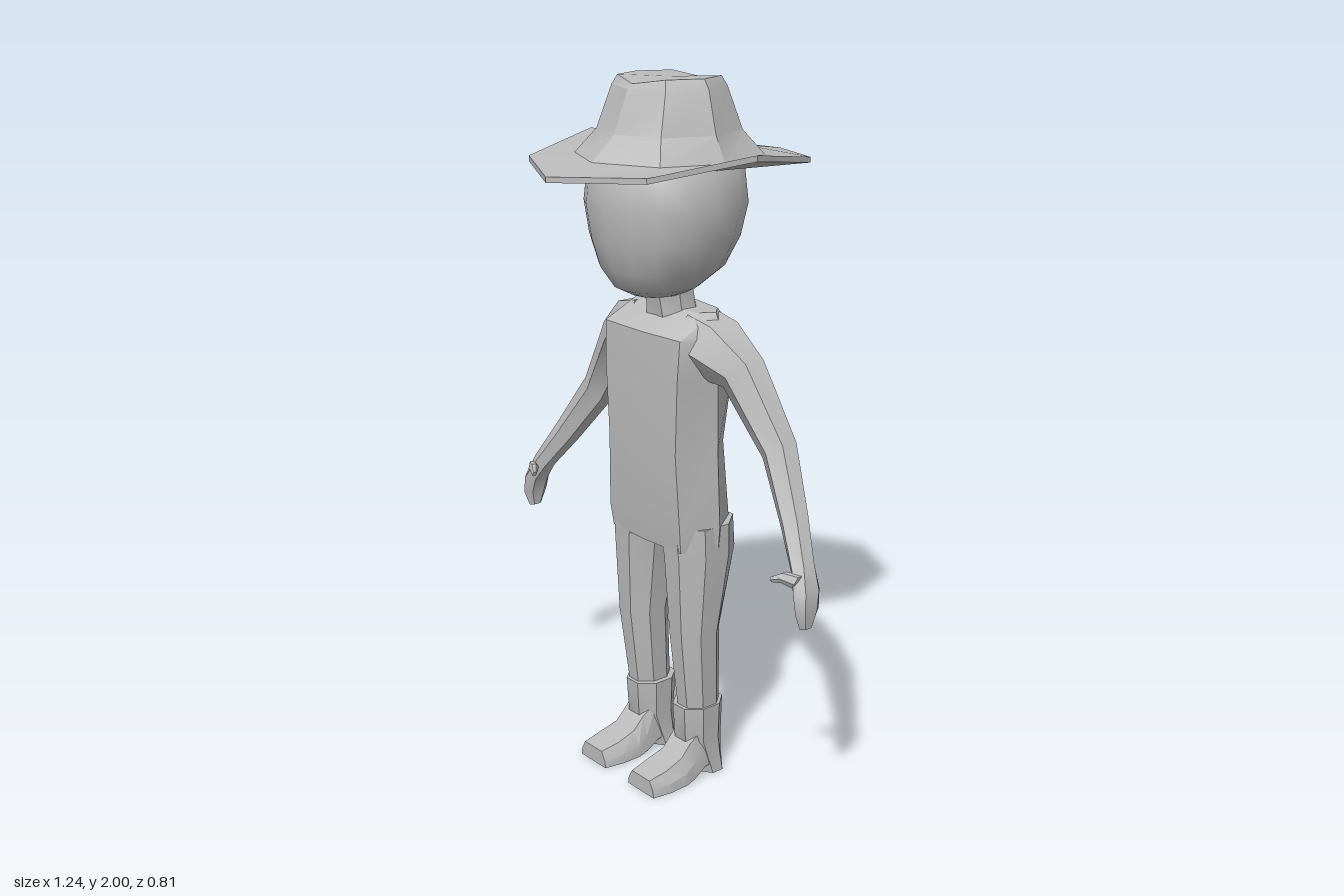
import * as THREE from 'three';
import { toCreasedNormals } from 'three/addons/utils/BufferGeometryUtils.js';

const V = (x, y, z) => new THREE.Vector3(x, y, z);

// Closed skin over rings of equal length, capped at both ends and facing outward.
function loft(rings, crease) {
  const n = rings[0].length, pts = rings.flat(), tris = [];
  const last = (rings.length - 1) * n;
  for (let r = 0; r < rings.length - 1; r++) {
    for (let i = 0; i < n; i++) {
      const a = r * n + i, b = r * n + (i + 1) % n;
      tris.push([a, b, b + n], [a, b + n, a + n]);
    }
  }
  const middle = ring => ring.reduce((s, p) => s.add(p), V(0, 0, 0)).divideScalar(n);
  pts.push(middle(rings[0]), middle(rings[rings.length - 1]));
  for (let i = 0; i < n; i++) {
    const j = (i + 1) % n;
    tris.push([j, i, pts.length - 2], [last + i, last + j, pts.length - 1]);
  }
  const volume = tris.reduce((s, [a, b, c]) => s + pts[a].dot(V(0, 0, 0).crossVectors(pts[b], pts[c])), 0);
  const g = new THREE.BufferGeometry().setFromPoints(pts);
  g.setIndex(tris.flatMap(([a, b, c]) => (volume < 0 ? [a, c, b] : [a, b, c])));
  return toCreasedNormals(g, crease);
}

// Level ring filling x0..x1 and z0..z1; power below 1 squares it off.
function levelRing([y, x0, x1, z0, z1], n, phase = 0, power = 1) {
  const grow = phase ? 1 / Math.cos(phase) : 1;
  const bend = v => Math.sign(v) * Math.abs(v) ** power * grow;
  return Array.from({ length: n }, (_, i) => {
    const a = phase + i / n * Math.PI * 2;
    return V((x0 + x1) / 2 + (x1 - x0) / 2 * bend(Math.cos(a)), y, (z0 + z1) / 2 + (z1 - z0) / 2 * bend(Math.sin(a)));
  });
}

// Six-sided limb through stations [x, y, z, half thickness, half depth].
function limb(stations) {
  return stations.map(([x, y, z, h, d], k) => {
    const p = stations[Math.max(k - 1, 0)], q = stations[Math.min(k + 1, stations.length - 1)];
    const t = V(q[0] - p[0], q[1] - p[1], 0).normalize();
    return Array.from({ length: 6 }, (_, i) => {
      const a = i / 6 * Math.PI * 2, u = Math.sin(a) * h / 0.866;
      return V(x - t.y * u, y + t.x * u, z + Math.cos(a) * d);
    });
  });
}

// Eight-sided hat ring: front radius and height, diagonal x, z, height, side radius and height.
function hatRing([zr, yz, xd, zd, yd, xr, yx]) {
  return [V(0, yz, zr), V(xd, yd, zd), V(xr, yx, 0), V(xd, yd, -zd),
    V(0, yz, -zr), V(-xd, yd, -zd), V(-xr, yx, 0), V(-xd, yd, zd)];
}

export function createModel() {
  const model = new THREE.Group();
  const grey = new THREE.MeshStandardMaterial({ color: 0xbbbbbb });
  grey.name = 'plain grey';
  const add = (name, rings, crease = 0.6) => {
    const mesh = new THREE.Mesh(loft(rings, crease), grey);
    mesh.name = name;
    model.add(mesh);
  };

  // Hat: brim underside, brim edge, flared crown and dipped top
  add('hat', [
    [0.25, 1.772, 0.175, 0.175, 1.775, 0.215, 1.775],
    [0.405, 1.758, 0.25, 0.28, 1.772, 0.345, 1.812],
    [0.405, 1.773, 0.25, 0.28, 1.787, 0.345, 1.828],
    [0.26, 1.795, 0.18, 0.18, 1.795, 0.225, 1.792],
    [0.185, 1.86, 0.135, 0.14, 1.86, 0.188, 1.86],
    [0.14, 1.972, 0.112, 0.105, 1.975, 0.158, 1.975],
    [0.125, 1.985, 0.1, 0.095, 2, 0.14, 2],
  ].map(hatRing), 0.4);

  // Head: [y, half width, back, front]
  add('head', [
    [1.425, 0.07, -0.03, 0.12], [1.445, 0.11, -0.07, 0.16], [1.5, 0.165, -0.14, 0.193],
    [1.58, 0.2, -0.18, 0.213], [1.67, 0.217, -0.2, 0.225], [1.77, 0.205, -0.19, 0.215],
    [1.85, 0.15, -0.13, 0.13],
  ].map(([y, w, b, f]) => levelRing([y, -w, w, b, f], 16, 0, 0.9)), 0.8);

  add('neck', [[1.34, -0.09, 0.09, -0.085, 0.05], [1.39, -0.075, 0.075, -0.065, 0.055],
    [1.46, -0.08, 0.08, -0.05, 0.07]].map(r => levelRing(r, 8, Math.PI / 8)));

  // Torso: [y, front corner x, side x, back corner x, front z, side z, back z]
  add('torso', [
    [0.715, 0.15, 0.19, 0.13, 0.092, -0.02, -0.128], [0.78, 0.155, 0.195, 0.13, 0.1, -0.02, -0.13],
    [1.0, 0.145, 0.178, 0.115, 0.108, -0.025, -0.12], [1.21, 0.155, 0.182, 0.125, 0.11, -0.02, -0.145],
    [1.325, 0.16, 0.19, 0.14, 0.105, -0.03, -0.13], [1.385, 0.13, 0.16, 0.12, 0.02, -0.03, -0.09],
  ].map(([y, fx, sx, bx, fz, sz, bz]) => [
    V(0, y, fz), V(fx, y, fz - 0.008), V(sx, y, sz), V(bx, y, bz + 0.02),
    V(0, y, bz), V(-bx, y, bz + 0.02), V(-sx, y, sz), V(-fx, y, fz - 0.008)]));

  for (const [side, s] of [['left', 1], ['right', -1]]) {
    const addSide = (name, rings, crease) =>
      add(side + name, rings.map(r => r.map(p => V(p.x * s, p.y, p.z))), crease);

    // Arm running into a flat mitten hand
    addSide('Arm', limb([
      [0.1, 1.295, -0.02, 0.085, 0.1], [0.17, 1.285, -0.025, 0.08, 0.095],
      [0.26, 1.235, -0.04, 0.06, 0.065], [0.39, 1.05, -0.055, 0.046, 0.05],
      [0.5, 0.89, -0.01, 0.035, 0.042], [0.57, 0.79, 0.025, 0.027, 0.038],
      [0.598, 0.735, 0.037, 0.023, 0.047], [0.605, 0.685, 0.04, 0.015, 0.042],
      [0.604, 0.64, 0.042, 0.01, 0.022],
    ]));
    addSide('Thumb', limb([[0.59, 0.765, 0.055, 0.02, 0.02], [0.555, 0.775, 0.078, 0.014, 0.016],
      [0.53, 0.767, 0.095, 0.007, 0.009]]));

    // Leg: [y, inner x, outer x, back z, front z]
    addSide('Leg', [
      [0.78, 0.01, 0.188, -0.122, 0.09], [0.69, 0.035, 0.188, -0.122, 0.085],
      [0.45, 0.052, 0.178, -0.068, 0.073], [0.2, 0.062, 0.162, -0.078, 0.042],
    ].map(r => levelRing(r, 8, Math.PI / 8)));

    // Boot shaft and heel
    addSide('BootShaft', [
      [0.22, 0.045, 0.17, -0.09, 0.055], [0.11, 0.05, 0.165, -0.088, 0.048],
      [0.05, 0.05, 0.165, -0.088, 0.02], [0, 0.045, 0.17, -0.088, 0],
    ].map(r => levelRing(r, 8, Math.PI / 8)), 0.4);

    // Boot foot: [z, sole y, top y, top half width, sole half width]
    addSide('BootFoot', [
      [-0.04, 0.03, 0.15, 0.05, 0.055], [0.0, 0.03, 0.15, 0.05, 0.058],
      [0.045, 0.006, 0.115, 0.042, 0.062], [0.08, 0, 0.078, 0.042, 0.067],
      [0.14, 0, 0.06, 0.045, 0.068], [0.2, 0, 0.048, 0.04, 0.058],
    ].map(([z, y0, y1, wt, wb]) => {
      const c = 0.108 + z * 0.02, ym = y0 + (y1 - y0) * 0.45;
      return [V(c - wb, y0, z), V(c + wb, y0, z), V(c + wb * 0.95, ym, z),
        V(c + wt, y1, z), V(c - wt, y1, z), V(c - wb * 0.95, ym, z)];
    }), 0.4);
  }
  return model;
}
